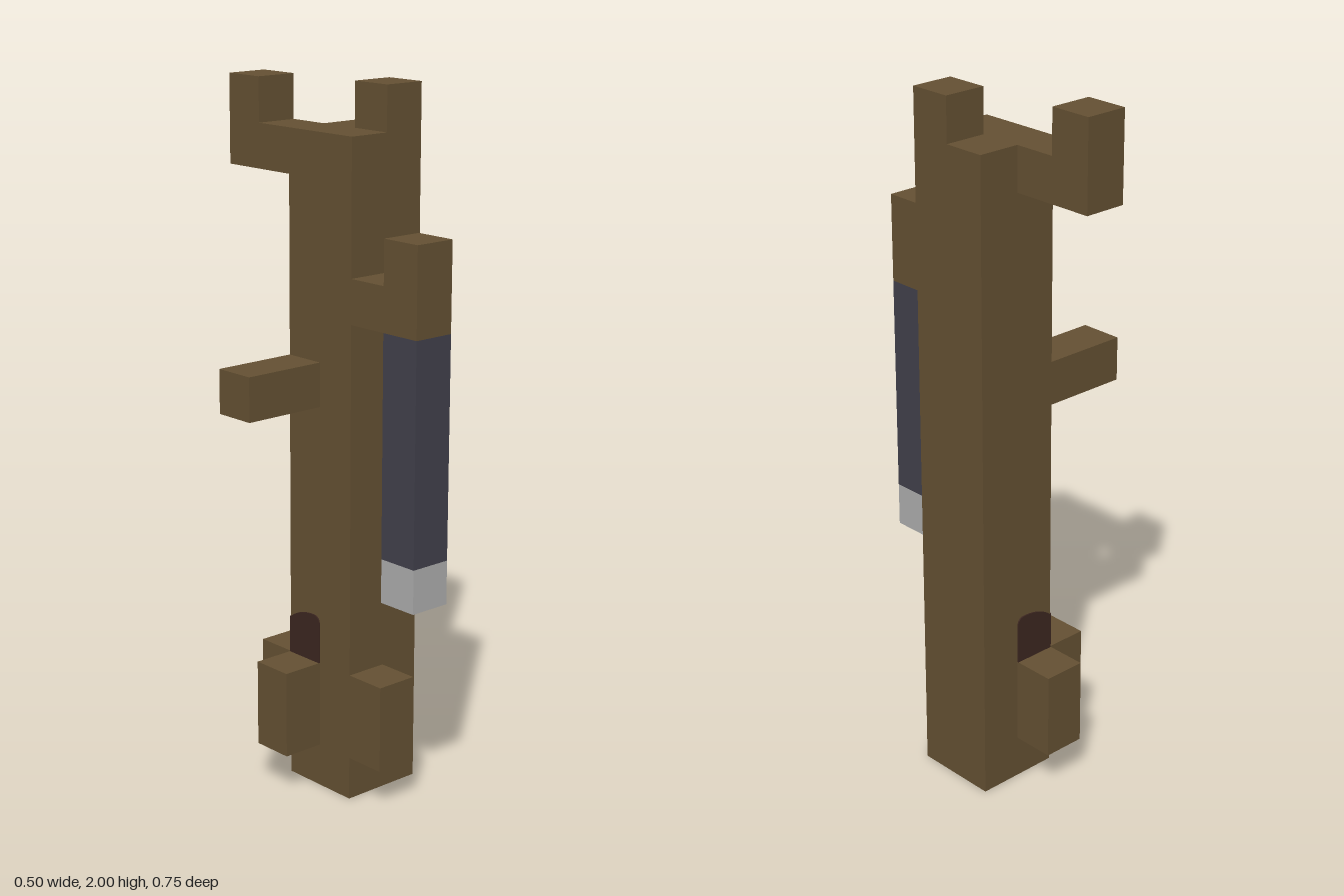
import * as THREE from 'three';

const U = 0.125; // one block

export function createModel() {
  const model = new THREE.Group();
  model.name = 'hangingPost';

  const mat = (name, color) => {
    const m = new THREE.MeshStandardMaterial({ color });
    m.name = name;
    return m;
  };
  const bark = mat('bark', 0x655133);
  const slate = mat('slate', 0x42414c);
  const steel = mat('steel', 0xaeaeae);
  const hollow = mat('hollow', 0x3c2620);

  // Box given by its low and high corners, counted in blocks
  const block = (name, material, [x0, y0, z0], [x1, y1, z1]) => {
    const mesh = new THREE.Mesh(
      new THREE.BoxGeometry((x1 - x0) * U, (y1 - y0) * U, (z1 - z0) * U), material);
    mesh.position.set((x0 + x1) * U / 2, (y0 + y1) * U / 2, (z0 + z1) * U / 2);
    mesh.name = name;
    model.add(mesh);
  };

  // Trunk with one raised corner on top
  block('trunk', bark, [0, 0, -1], [2, 15, 1]);
  block('trunkTip', bark, [1, 15, 0], [2, 16, 1]);

  // Bent branch at the back
  block('backBranch', bark, [0, 14, -2], [1, 15, -1]);
  block('backBranchTip', bark, [0, 14, -3], [1, 16, -2]);

  // Straight branch at the side
  block('sideBranch', bark, [-2, 9, -1], [0, 10, 0]);

  // Front branch with the hanging bar
  block('frontBranch', bark, [0, 11, 1], [1, 12, 2]);
  block('frontBranchTip', bark, [0, 11, 2], [1, 13, 3]);
  block('hangingBar', slate, [0, 6, 2], [1, 11, 3]);
  block('hangingBarEnd', steel, [0, 5, 2], [1, 6, 3]);

  // Roots
  block('frontRoot', bark, [0, 1, 1], [1, 3, 2]);
  block('backRoot', bark, [0, 1, -2], [1, 3, -1]);
  block('sideRoot', bark, [-1, 1, -1], [0, 3, 0]);

  // Dark hollow wrapped around the trunk corner, above two of the roots
  const outline = new THREE.Shape();
  outline.moveTo(0, 0.375);
  outline.lineTo(U, 0.375);
  outline.lineTo(U, 0.49);
  outline.quadraticCurveTo(U, 0.515, 0.1, 0.515);
  outline.quadraticCurveTo(0.04, 0.515, 0, 0.48);
  const plate = new THREE.ExtrudeGeometry(outline, { depth: 0.004, bevelEnabled: false });

  const backHollow = new THREE.Mesh(plate, hollow);
  backHollow.name = 'backHollow';
  backHollow.position.set(0, 0, -U - 0.004);
  const sideHollow = new THREE.Mesh(plate, hollow);
  sideHollow.name = 'sideHollow';
  sideHollow.rotation.y = -Math.PI / 2;
  sideHollow.position.set(0, 0, -U);
  model.add(backHollow, sideHollow);

  return model;
}
